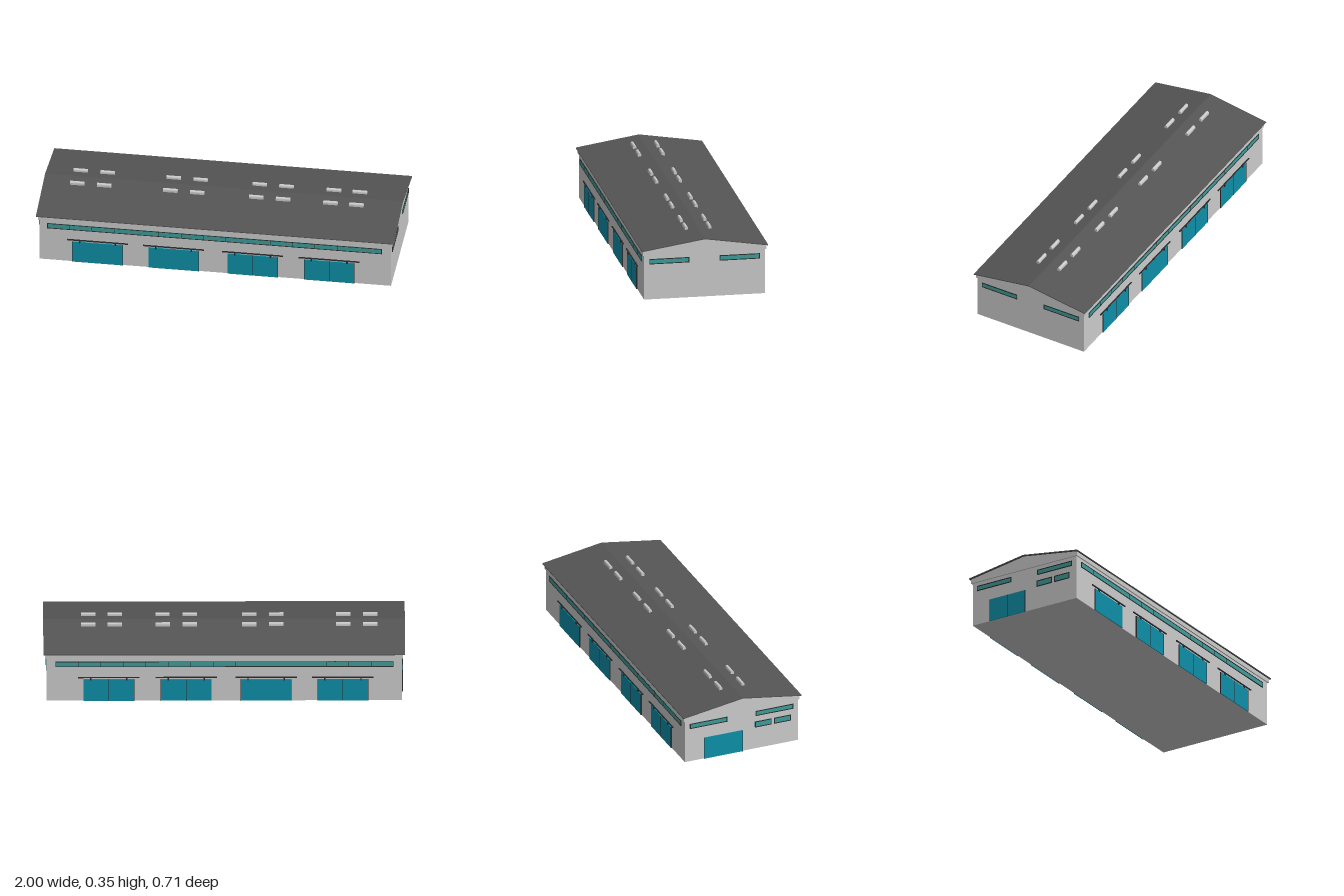
import * as THREE from 'three';

const mat = (color) => new THREE.MeshStandardMaterial({ color, flatShading: true });

export function createModel() {
  const model = new THREE.Group();
  model.name = 'warehouse';
  const wall = mat(0xcccccc), roof = mat(0x555555), dark = mat(0x2b2b2b);
  const teal = mat(0x0e8fa8), glass = mat(0x3f9d9a);

  const add = (parent, name, geometry, material, x = 0, y = 0, z = 0) => {
    const m = new THREE.Mesh(geometry, material);
    m.name = name;
    m.position.set(x, y, z);
    parent.add(m);
    return m;
  };
  const box = (parent, name, material, w, h, d, x, y, z) =>
    add(parent, name, new THREE.BoxGeometry(w, h, d), material, x, y, z);
  const group = (name, parent = model) => {
    const g = new THREE.Group();
    g.name = name;
    parent.add(g);
    return g;
  };
  // Cross-section given as [z, y] points, run along the length of the building
  const prism = (name, points, length, material) => {
    const shape = new THREE.Shape(points.map(([z, y]) => new THREE.Vector2(-z, y)));
    const geo = new THREE.ExtrudeGeometry(shape, { depth: length, bevelEnabled: false });
    geo.translate(0, 0, -length / 2).rotateY(Math.PI / 2);
    return add(model, name, geo, material);
  };

  // Walls, the slightly wider gable band and the folded roof sheet
  box(model, 'walls', wall, 1.966, 0.256, 0.68, 0, 0.128, 0);
  prism('gableBand', [[-0.347, 0.256], [0.347, 0.256], [0.347, 0.28], [0, 0.335], [-0.347, 0.28]], 1.98, wall);
  prism('roof', [[-0.355, 0.28], [0, 0.335], [0.355, 0.28], [0.355, 0.285], [0, 0.341], [-0.355, 0.285]], 2, roof);

  // Framed window facing +z; panes are divided by thin mullions
  const windowStrip = (parent, w, h, x, y, panes, t) => {
    const g = group('window', parent);
    g.position.set(x, y, 0);
    box(g, 'glass', glass, w, h, 0.002, 0, 0, 0.001);
    for (const s of [-1, 1]) {
      box(g, 'frameRail', dark, w, t, 0.005, 0, s * (h - t) / 2, 0.0025);
      box(g, 'framePost', dark, t, h, 0.005, s * (w - t) / 2, 0, 0.0025);
    }
    for (let i = 1; i < panes; i++)
      box(g, 'mullion', dark, 0.002, h, 0.003, -w / 2 + (i * w) / panes, 0, 0.0015);
  };

  // Pair of door leaves with dark seams, facing +z
  const doorLeaves = (parent, w, h) => {
    for (const s of [-1, 1]) {
      box(parent, 'doorLeaf', teal, w / 2 - 0.001, h, 0.005, s * w / 4, h / 2, 0.0025);
      box(parent, 'doorEdge', dark, 0.002, h, 0.006, s * w / 2, h / 2, 0.003);
    }
    box(parent, 'doorSeam', dark, 0.002, h, 0.006, 0, h / 2, 0.003);
  };

  // Both long sides: window ribbon and four sliding doors hung on rails
  for (const s of [1, -1]) {
    const side = group(s > 0 ? 'frontSide' : 'backSide');
    side.position.z = s * 0.34;
    if (s < 0) side.rotation.y = Math.PI;
    windowStrip(side, 1.87, 0.032, -0.003 * s, 0.221, 15, 0.003);
    for (const x of [-0.657, -0.232, 0.21, 0.638]) {
      const door = group('slidingDoor', side);
      door.position.x = x * s;
      doorLeaves(door, 0.28, 0.13);
      box(door, 'rail', dark, 0.34, 0.006, 0.006, 0, 0.141, 0.004);
      for (const k of [-1, 1]) box(door, 'hanger', dark, 0.008, 0.018, 0.008, k * 0.1, 0.134, 0.005);
    }
  }

  // Gable ends: two high windows each, entrance and small windows on the right end
  for (const s of [1, -1]) {
    const end = group(s > 0 ? 'leftEnd' : 'rightEnd');
    end.position.x = s * 0.983;
    end.rotation.y = s * Math.PI / 2;
    for (const k of [-1, 1]) windowStrip(end, 0.225, 0.03, k * 0.198, 0.218, 1, 0.004);
    if (s < 0) {
      const door = group('endDoor', end);
      door.position.x = -0.11;
      doorLeaves(door, 0.23, 0.13);
      for (const x of [0.13, 0.245]) windowStrip(end, 0.1, 0.036, x, 0.15, 1, 0.004);
    }
  }

  // Rounded ridge vents in pairs on both slopes
  for (const z of [-0.066, 0.066])
    for (const x of [-0.81, -0.66, -0.29, -0.14, 0.19, 0.34, 0.605, 0.75]) {
      const vent = group('roofVent');
      vent.position.set(x, 0.34, z);
      box(vent, 'ventBase', wall, 0.08, 0.022, 0.018, 0, -0.011, 0);
      const cap = new THREE.CylinderGeometry(0.009, 0.009, 0.08, 12).rotateZ(Math.PI / 2);
      add(vent, 'ventCap', cap, wall);
    }

  return model;
}
